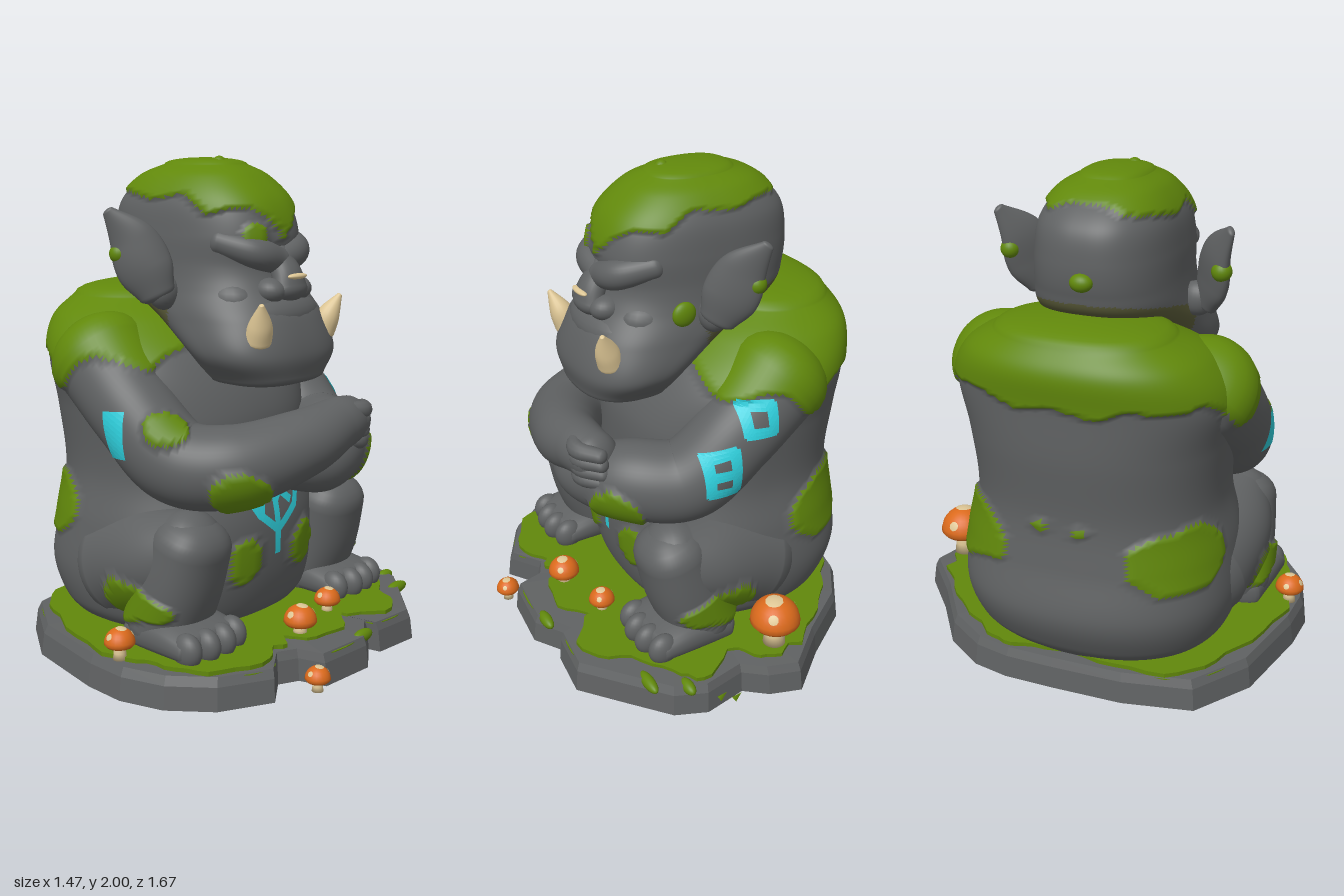
import * as THREE from 'three';

const mat = (name, color, side = THREE.FrontSide) => {
  const m = new THREE.MeshStandardMaterial({ color, side });
  m.name = name;
  return m;
};
const stone = mat('stone', 0x5f6162);
const moss = mat('moss', 0x61880b);
const olive = mat('shaded moss', 0x595a38);
const glow = mat('cyan paint', 0x2ecfdc, THREE.DoubleSide);
const bone = mat('bone', 0xdcc594);
const orange = mat('mushroom cap', 0xdb6a1c);
const rock = mat('base stone', 0x5f6162, THREE.DoubleSide);
const turf = mat('base moss', 0x61880b, THREE.DoubleSide);
const V = (x, y, z) => new THREE.Vector3(x, y, z);

function add(parent, name, geo, material) {
  const m = new THREE.Mesh(geo, material);
  m.name = name;
  parent.add(m);
  return m;
}

// Rounded sweep through stations [x, y, z, radiusA, radiusB]; a fixed axis keeps the rings parallel
function sweep(pts, { rings = 40, n = 28, ref = V(0, 1, 0), axis = null, p = 2, cap = 0.8 } = {}) {
  const path = new THREE.CatmullRomCurve3(pts.map(q => V(q[0], q[1], q[2])), false, 'catmullrom');
  const size = new THREE.CatmullRomCurve3(pts.map(q => V(q[3], q[4] ?? q[3], 0)), false, 'catmullrom');
  const pos = [], idx = [], K = 7;
  const sup = v => Math.sign(v) * Math.abs(v) ** (2 / p);
  for (let i = -K; i <= rings + K; i++) {
    const u = Math.min(1, Math.max(0, i / rings));
    const over = i < 0 ? i : Math.max(0, i - rings);
    const a = (over / K) * Math.PI / 2;
    const t = axis ? axis.clone() : path.getTangent(u);
    const r = size.getPoint(u);
    const c = path.getPoint(u).addScaledVector(t, Math.sin(a) * Math.min(r.x, r.y) * cap);
    const b = ref.clone().addScaledVector(t, -ref.dot(t)).normalize();
    const d = t.clone().cross(b);
    const k = Math.max(Math.cos(a), 0.004);
    for (let j = 0; j < n; j++) {
      const w = j / n * Math.PI * 2;
      const v = c.clone().addScaledVector(b, sup(Math.cos(w)) * r.x * k).addScaledVector(d, sup(Math.sin(w)) * r.y * k);
      pos.push(v.x, v.y, v.z);
    }
  }
  for (let i = 0; i < rings + 2 * K; i++) for (let j = 0; j < n; j++) {
    const a = i * n + j, b = i * n + (j + 1) % n;
    idx.push(a, b, b + n, a, b + n, a + n);
  }
  const g = new THREE.BufferGeometry();
  g.setAttribute('position', new THREE.Float32BufferAttribute(pos, 3));
  g.setIndex(idx);
  g.computeVertexNormals();
  return g;
}

function blob(x, y, z, rx, ry, rz) {
  return new THREE.SphereGeometry(1, 24, 16).scale(rx, ry, rz).translate(x, y, z);
}

// Sorts faces into stone / moss / olive by a rule and swells the moss slightly
function paint(g, rule) {
  const P = g.attributes.position, N = g.attributes.normal, kind = [], lists = [[], [], []];
  for (let i = 0; i < P.count; i++) {
    kind[i] = rule(P.getX(i), P.getY(i), P.getZ(i));
    const h = kind[i] === 1 ? 0.015 : 0;
    P.setXYZ(i, P.getX(i) + N.getX(i) * h, P.getY(i) + N.getY(i) * h, P.getZ(i) + N.getZ(i) * h);
  }
  const ix = g.index.array;
  for (let i = 0; i < ix.length; i += 3) {
    const k = [kind[ix[i]], kind[ix[i + 1]], kind[ix[i + 2]]].sort();
    lists[k[1]].push(ix[i], ix[i + 1], ix[i + 2]);
  }
  g.setIndex(lists.flat());
  let start = 0;
  lists.forEach((l, m) => { g.addGroup(start, l.length, m); start += l.length; });
  g.computeVertexNormals();
  return g;
}
const skins = [stone, moss, olive];
const wob = (x, y, z) => Math.sin(17 * x + 3 * y + 1) * 0.5 + Math.sin(21 * z + 12 * y) * 0.5;

// Moss: shoulder cape plus mirrored patches [x, y, z, radius, flatness, one side only]
const patches = [[-0.52, 0.59, 0.43, 0.25, 1.9], [0.05, 0.32, 0.6, 0.15, 1.8], [0.15, 0.31, 0.57, 0.11, 1.6], [0.4, 0.77, 0.36, 0.125, 1.2],
  [0.18, 1.01, 0.55, 0.095, 1.3, true], [0.27, 0.41, 0.19, 0.08, 0.9], [-0.68, 0.72, 0.08, 0.03, 1]];
function bodyMoss(x, y, z) {
  const w = wob(x, y, z);
  const edge = 1.22 + 0.03 * w - 0.11 * Math.exp(-(((x + 0.32) / 0.1) ** 2));
  if (y > edge && x < 0.03 + 0.02 * w) return 1;
  return patches.some(([a, b, c, r, f, single]) =>
    Math.hypot(x - a, (y - b) * f, (single ? z : Math.abs(z)) - c) < r * (1 + 0.2 * w)) ? 1 : 0;
}

// Painted strokes laid on a surface, seen along x (z, y pairs) or along z (x, y pairs)
function strokes(parent, name, target, lines, axis, sign, width) {
  const ray = new THREE.Raycaster(), pos = [], K = 4;
  const hit = (a, b) => {
    const o = axis === 'x' ? V(3 * sign, b, a) : V(a, b, 3 * sign);
    ray.set(o, axis === 'x' ? V(-sign, 0, 0) : V(0, 0, -sign));
    const h = ray.intersectObject(target)[0];
    return h && h.point.addScaledVector(ray.ray.direction, -0.008);
  };
  for (const line of lines) for (let s = 0; s + 1 < line.length; s++) {
    const [a0, b0] = line[s], [a1, b1] = line[s + 1];
    const len = Math.hypot(a1 - a0, b1 - b0), steps = Math.ceil(len / 0.015), e = width * 0.3 / len;
    const row = i => Array.from({ length: K }, (_, k) => {
      const t = -e + (1 + 2 * e) * i / steps, o = (k / (K - 1) - 0.5) * width;
      return hit(a0 + (a1 - a0) * t - (b1 - b0) / len * o, b0 + (b1 - b0) * t + (a1 - a0) / len * o);
    });
    for (let i = 0, A = row(0); i < steps; i++) {
      const B = row(i + 1);
      for (let k = 0; k + 1 < K; k++) {
        const q = [A[k], A[k + 1], B[k + 1], A[k], B[k + 1], B[k]];
        if (axis === 'x' ? sign < 0 : sign > 0) q.reverse();
        if (q.every(Boolean)) q.forEach(v => pos.push(v.x, v.y, v.z));
      }
      A = B;
    }
  }
  const g = new THREE.BufferGeometry();
  g.setAttribute('position', new THREE.Float32BufferAttribute(pos, 3));
  g.computeVertexNormals();
  add(parent, name, g, glow);
}

function buildBody() {
  const body = new THREE.Group();
  body.name = 'body';
  const up = { ref: V(1, 0, 0), axis: V(0, 1, 0) };
  const torso = add(body, 'torso', paint(sweep([
    [-0.21, 0.12, 0, 0.4, 0.48], [-0.22, 0.2, 0, 0.46, 0.54], [-0.23, 0.35, 0, 0.505, 0.57], [-0.21, 0.55, 0, 0.49, 0.55],
    [-0.22, 0.75, 0, 0.46, 0.51], [-0.24, 1.0, 0, 0.46, 0.53], [-0.29, 1.2, 0, 0.41, 0.56], [-0.37, 1.34, 0, 0.34, 0.48],
    [-0.42, 1.43, 0, 0.24, 0.34]], { ...up, rings: 100, n: 120, p: 2.3, cap: 0.22 }), bodyMoss), skins);
  strokes(body, 'bellyRune', torso, [[[0, 0.42], [0, 0.74]], [[0, 0.51], [0.1, 0.59], [0.15, 0.67]],
    [[0, 0.51], [-0.12, 0.59], [-0.17, 0.69]], [[0.09, 0.59], [0.06, 0.72]], [[0, 0.63], [-0.09, 0.73]],
    [[-0.03, 0.67], [-0.09, 0.62]], [[0.14, 0.65], [0.06, 0.68]]], 'x', 1, 0.033);

  // Crossed arms: one forearm rests above the other, whose hand is tucked away
  for (const s of [1, -1]) {
    const over = s > 0;
    const fore = over ? [[0.44, 0.9, 0.05, 0.135], [0.46, 0.945, -0.14, 0.11], [0.45, 0.95, -0.24, 0.1]]
      : [[0.42, 0.8, -0.1, 0.125], [0.38, 0.82, 0.08, 0.1], [0.34, 0.83, 0.16, 0.08]];
    const arm = add(body, over ? 'upperCrossedArm' : 'lowerCrossedArm', paint(sweep([
      [-0.27, 1.2, 0.42 * s, 0.2], [-0.06, 1.02, 0.455 * s, 0.172], [0.13, 0.85, 0.42 * s, 0.168],
      [0.32, 0.84, 0.3 * s, 0.16], ...fore], { rings: 110, n: 52 }), bodyMoss), skins);
    if (over) strokes(body, 'armMark', arm, [[[-0.01, 1.03], [0, 0.9]]], 'z', 1, 0.09);
    else strokes(body, 'armRunes', arm, [
      [[-0.13, 1.2], [-0.03, 1.2], [-0.03, 1.1], [-0.13, 1.1], [-0.13, 1.2]],
      [[0.03, 1.04], [0.13, 1.01], [0.125, 0.87], [0.02, 0.87], [0.03, 1.04]], [[0.03, 0.95], [0.12, 0.94]]], 'z', -1, 0.042);
    // Legs and feet
    add(body, 'thigh', paint(sweep([[-0.17, 0.38, 0.37 * s, 0.24], [0.06, 0.46, 0.43 * s, 0.2], [0.22, 0.54, 0.44 * s, 0.14]],
      { rings: 50, n: 48 }), bodyMoss), skins);
    add(body, 'shin', paint(sweep([[0.22, 0.54, 0.44 * s, 0.14, 0.16], [0.17, 0.37, 0.45 * s, 0.15, 0.165], [0.1, 0.2, 0.45 * s, 0.15, 0.17]],
      { rings: 40, n: 48, ref: V(1, 0, 0), p: 2.3 }), bodyMoss), skins);
    add(body, 'foot', sweep([[0.02, 0.18, 0.46 * s, 0.08, 0.15], [0.2, 0.19, 0.46 * s, 0.08, 0.17],
      [0.33, 0.18, 0.46 * s, 0.06, 0.175]], { rings: 20, p: 2.6, cap: 0.6 }), stone);
    for (let i = 0; i < 4; i++)
      add(body, 'toe', blob(0.36 - Math.abs(i - 1.4) * 0.02, 0.182, s * (0.335 + i * 0.083), 0.065, 0.068, 0.046), stone);
  }
  // Clenched fingers of the upper hand
  for (let i = 0; i < 4; i++) {
    const y = 1.005 - i * 0.042, x = 0.5 - i * 0.005;
    add(body, 'finger', sweep([[x, y, -0.18, 0.035], [x + 0.02, y - 0.005, -0.25, 0.037], [x - 0.04, y - 0.01, -0.33, 0.03]],
      { rings: 12, n: 12 }), stone);
  }
  return body;
}

function buildHead() {
  const head = new THREE.Group();
  head.name = 'head';
  add(head, 'skull', paint(sweep([
    [0.22, 1.15, 0, 0.2, 0.24], [0.2, 1.25, 0, 0.235, 0.315], [0.08, 1.38, 0, 0.315, 0.31], [-0.06, 1.49, 0, 0.385, 0.29],
    [-0.1, 1.58, 0, 0.39, 0.28], [-0.1, 1.7, 0, 0.4, 0.275], [-0.11, 1.82, 0, 0.365, 0.255], [-0.11, 1.91, 0, 0.27, 0.195],
    [-0.1, 1.955, 0, 0.17, 0.12]], { ref: V(1, 0, 0), axis: V(0, 1, 0), rings: 90, n: 90, p: 2.5, cap: 0.2 }),
  (x, y, z) => {
    const edge = 1.855 - 0.56 * Math.max(0, x) + Math.max(0, x - 0.12) * Math.abs(z) * 5.5;
    if (y > edge + 0.025 * wob(x, 0, z) && x > -0.4) return 1;
    if (Math.hypot(x - 0.27, y - 1.7, z - 0.13) < 0.05) return 1;
    return y < 1.55 - 0.2 * (x + 0.5) && x < -0.03 ? 2 : 0;
  }), skins);
  // Face
  add(head, 'upperLip', blob(0.25, 1.39, 0, 0.14, 0.1, 0.24), stone);
  add(head, 'nose', sweep([[0.27, 1.62, 0, 0.05, 0.055], [0.32, 1.55, 0, 0.055, 0.07], [0.34, 1.49, 0, 0.055, 0.085]],
    { rings: 16, ref: V(1, 0, 0) }), stone);
  add(head, 'noseBone', blob(0.375, 1.545, 0, 0.02, 0.012, 0.055), bone);
  for (const s of [1, -1]) {
    add(head, 'nostril', blob(0.3, 1.49, 0.08 * s, 0.07, 0.05, 0.06), stone);
    add(head, 'brow', sweep([[0.285, 1.6, 0.01 * s, 0.055], [0.265, 1.635, 0.12 * s, 0.06], [0.15, 1.675, 0.2 * s, 0.05]],
      { rings: 20 }), stone);
    add(head, 'cheek', blob(0.16, 1.45, 0.16 * s, 0.13, 0.09, 0.1), stone);
    add(head, 'tusk', sweep([[0.345, 1.315, 0.2 * s, 0.055], [0.37, 1.38, 0.215 * s, 0.045], [0.4, 1.455, 0.245 * s, 0.01]],
      { rings: 20, n: 18, ref: V(1, 0, 0), cap: 0.4 }), bone);
    // Broad pointed ear with a lobe and a moss tuft
    add(head, 'ear', sweep([[-0.04, 1.48, 0.35 * s, 0.075, 0.04], [-0.07, 1.57, 0.38 * s, 0.11, 0.045],
      [-0.11, 1.68, 0.41 * s, 0.095, 0.04], [-0.17, 1.79, 0.475 * s, 0.025, 0.015]],
    { rings: 30, ref: V(0.7, 0, -0.6 * s) }), stone);
    add(head, 'earLobe', blob(-0.04, 1.48, 0.31 * s, 0.055, 0.07, 0.07), stone);
    add(head, 'earMoss', blob(-0.15, 1.63, 0.44 * s, 0.04, 0.04, 0.04), moss);
  }
  add(head, 'templeMoss', blob(0.08, 1.5, -0.3, 0.05, 0.05, 0.025), moss);
  add(head, 'napeMoss', blob(-0.5, 1.635, 0.02, 0.035, 0.035, 0.045), moss);
  add(head, 'crownTuft', blob(0, 1.955, 0.03, 0.035, 0.045, 0.035), moss);
  add(head, 'foreheadTuft', blob(0.2, 1.81, 0.03, 0.05, 0.04, 0.06), moss);
  return head;
}

function buildBase() {
  const base = new THREE.Group();
  base.name = 'base';
  const rim = [[-0.15, -0.84], [-0.02, -0.8], [0.07, -0.73], [0.25, -0.77], [0.38, -0.72], [0.53, -0.55], [0.66, -0.4], [0.64, -0.19],
    [0.59, -0.18], [0.69, -0.03], [0.67, 0.22], [0.56, 0.25], [0.52, 0.33], [0.61, 0.46], [0.5, 0.66], [0.34, 0.78], [0.16, 0.83],
    [-0.02, 0.82], [-0.39, 0.74], [-0.62, 0.58], [-0.68, 0.3], [-0.69, 0], [-0.69, -0.2], [-0.66, -0.35], [-0.55, -0.52], [-0.33, -0.68]];
  const rings = [[1, 0], [0.985, 0.09], [0.965, 0.125], [0.76, 0.132]], n = rim.length, pos = [], idx = [];
  rings.forEach(([k, y]) => rim.forEach(([x, z]) => pos.push(x * k, y, z * k)));
  for (let i = 0; i + 1 < rings.length; i++) for (let j = 0; j < n; j++) {
    const a = i * n + j, b = i * n + (j + 1) % n;
    idx.push(a, a + n, b + n, a, b + n, b);
  }
  let wall = new THREE.BufferGeometry();
  wall.setAttribute('position', new THREE.Float32BufferAttribute(pos, 3));
  wall.setIndex(idx);
  wall = wall.toNonIndexed();
  wall.computeVertexNormals();
  add(base, 'stoneRim', wall, rock);
  // Moss carpet with a wavy edge, leaving the front ledge bare, and its underside
  const outline = new THREE.CatmullRomCurve3(rim.map(([x, z]) => V(x, 0, z)), true).getPoints(110).slice(0, -1);
  const plate = (name, y, depth, scale) => add(base, name, new THREE.ExtrudeGeometry(new THREE.Shape(outline.map((p, i) => {
    const k = scale(p, i);
    return new THREE.Vector2(p.x * k, -p.z * k);
  })), { depth, bevelEnabled: false }).rotateX(-Math.PI / 2).translate(0, y, 0), turf);
  const bare = p => p.x > 0.5 && Math.abs(p.z) < 0.27 ? 0.8 : p.z < -0.1 && (p.x > 0.3 || Math.abs(p.x + 0.05) < 0.15) ? 0.87 : 0.92;
  plate('mossCarpet', 0.125, 0.018, (p, i) => bare(p) + 0.025 * Math.sin(i * 0.55) + 0.01 * Math.sin(i * 1.7));
  plate('mossUnderside', 0.115, 0.004, () => 0.95);
  // Moss hanging over the edges
  for (const [x, z, w] of [[0.66, -0.06, 0.06], [0.45, -0.63, 0.07], [0.32, -0.73, 0.05]])
    add(base, 'mossDrip', blob(x * 0.97, 0.112, z * 0.97, 0.025, 0.026, w), moss);
  for (const [x, z] of [[0.14, -0.81], [0.19, -0.78]])
    add(base, 'leaf', new THREE.ConeGeometry(0.015, 0.04, 4).rotateZ(1).translate(x, 0.07, z), moss);
  return base;
}

// Mushroom with a spotted cap; r is the cap radius, h the total height
function buildMushroom(x, y, z, r, h) {
  const g = new THREE.Group();
  g.name = 'mushroom';
  g.position.set(x, y, z);
  const lathe = pts => new THREE.LatheGeometry(pts.map(([a, b]) => new THREE.Vector2(a, b)), 24);
  const d = r * 1.2, b = h - d;
  add(g, 'stem', lathe([[0, 0], [r * 0.45, 0], [r * 0.4, b * 0.5], [r * 0.32, b + d * 0.3], [0, b + d * 0.3]]), bone);
  const capPts = [[0, b + d * 0.2], [r * 0.85, b]];
  for (let i = 0; i <= 8; i++) {
    const a = i / 8 * Math.PI / 2;
    capPts.push([r * Math.cos(a), b + d * (0.15 + 0.85 * Math.sin(a))]);
  }
  add(g, 'cap', lathe(capPts), orange);
  for (const [tilt, turn, size] of [[0.12, 0.4, 0.36], [0.95, 0.9, 0.2], [1.05, 3.1, 0.2], [0.95, 4.6, 0.22]]) {
    const spot = new THREE.SphereGeometry(1.03, 10, 3, 0, Math.PI * 2, 0, size);
    add(g, 'capSpot', spot.rotateZ(-tilt).rotateY(turn).scale(r, d * 0.85, r).translate(0, b + d * 0.15, 0), bone);
  }
  return g;
}

export function createModel() {
  const model = new THREE.Group();
  model.name = 'stoneTroll';
  const figure = new THREE.Group();
  figure.name = 'figure';
  figure.add(buildBody(), buildHead());
  figure.position.z = 0.05;
  model.add(buildBase(), figure);
  for (const m of [[-0.1, 0.17, -0.695, 0.103, 0.215], [0.1, 0.13, 0.765, 0.06, 0.125], [0.68, 0.01, 0.29, 0.05, 0.1],
    [0.47, 0.13, 0.13, 0.067, 0.125], [0.41, 0.13, -0.13, 0.055, 0.11]]) model.add(buildMushroom(...m));
  return model;
}
